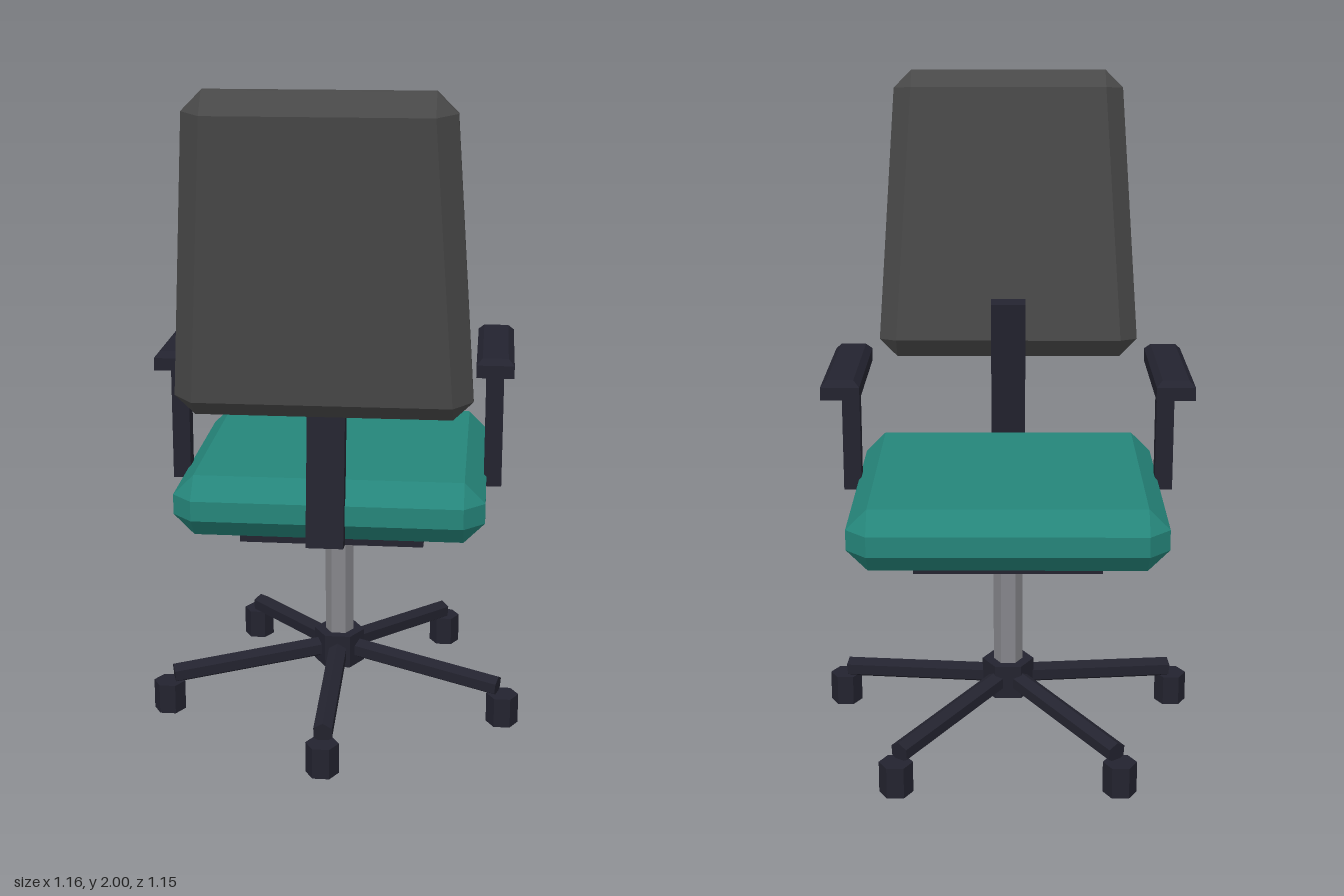
import * as THREE from 'three';
import { ConvexGeometry } from 'three/addons/geometries/ConvexGeometry.js';

const paint = (name, color) => {
  const m = new THREE.MeshStandardMaterial({ color, flatShading: true });
  m.name = name;
  return m;
};

// Box with every edge chamfered once; its width may taper from bottom to top
function chamferBox(bottomHalf, topHalf, halfH, halfD, b) {
  const pts = [];
  for (const sx of [-1, 1]) for (const sy of [-1, 1]) for (const sz of [-1, 1]) {
    const w = sy > 0 ? topHalf : bottomHalf;
    pts.push(
      new THREE.Vector3(sx * w, sy * (halfH - b), sz * (halfD - b)),
      new THREE.Vector3(sx * (w - b), sy * halfH, sz * (halfD - b)),
      new THREE.Vector3(sx * (w - b), sy * (halfH - b), sz * halfD));
  }
  return new ConvexGeometry(pts);
}

// Box whose top edges only are chamfered
function padBox(hw, hh, hd, b) {
  const pts = [];
  for (const sx of [-1, 1]) for (const sz of [-1, 1]) {
    pts.push(
      new THREE.Vector3(sx * hw, -hh, sz * hd),
      new THREE.Vector3(sx * hw, hh - b, sz * hd),
      new THREE.Vector3(sx * (hw - b), hh, sz * (hd - b)));
  }
  return new ConvexGeometry(pts);
}

// Six-sided upright prism with corners on the x axis
const hexPrism = (r, h) => new THREE.CylinderGeometry(r, r, h, 6, 1, false, Math.PI / 6);

export function createModel() {
  const teal = paint('teal fabric', 0x25857a);
  const charcoal = paint('charcoal fabric', 0x484848);
  const dark = paint('dark plastic', 0x23232f);
  const steel = paint('grey steel', 0x85858a);

  const chair = new THREE.Group();
  chair.name = 'officeChair';
  const add = (name, geometry, material, x, y, z) => {
    const mesh = new THREE.Mesh(geometry, material);
    mesh.name = name;
    mesh.position.set(x, y, z);
    chair.add(mesh);
    return mesh;
  };
  const midZ = -0.08;

  // Seat and the plate beneath it
  add('seat', chamferBox(0.462, 0.462, 0.0925, 0.443, 0.062), teal, 0, 0.76, -0.09);
  add('seatPlate', new THREE.BoxGeometry(0.556, 0.055, 0.556), dark, 0, 0.641, midZ);

  // Backrest and its support
  add('backrest', chamferBox(0.422, 0.368, 0.462, 0.065, 0.057), charcoal, 0, 1.539, 0.467)
    .rotation.x = 0.115;
  add('backSupport', new THREE.BoxGeometry(0.11, 0.62, 0.054), dark, 0, 0.98, 0.333)
    .rotation.x = -0.137;

  // Armrests
  for (const s of [-1, 1]) {
    add('armrestPad', padBox(0.056, 0.028, 0.24, 0.018), dark, s * 0.481, 1.16, -0.09);
    add('armrestPost', new THREE.BoxGeometry(0.054, 0.38, 0.054), dark, s * 0.481, 0.95, 0.01);
  }

  // Column and hub
  add('column', hexPrism(0.045, 0.5), steel, 0, 0.38, midZ);
  add('hub', hexPrism(0.08, 0.106), dark, 0, 0.169, midZ);

  // Five legs with casters
  const up = new THREE.Vector3(0, 1, 0);
  for (let i = 0; i < 5; i++) {
    const a = i * Math.PI * 2 / 5;
    const sx = Math.sin(a), cz = Math.cos(a), reach = 0.556;
    const start = new THREE.Vector3(0, 0.172, midZ);
    const end = new THREE.Vector3(sx * 0.54, 0.118, midZ + cz * 0.54);
    const dir = end.clone().sub(start);
    const geo = new THREE.CylinderGeometry(0.032, 0.032, dir.length(), 6);
    // Lay the prism along +z, tip it down, then swing it round
    geo.rotateX(Math.PI / 2);
    geo.rotateX(Math.asin(-dir.y / dir.length()));
    const mid = start.clone().add(end).multiplyScalar(0.5);
    add('leg', geo, dark, mid.x, mid.y, mid.z).setRotationFromAxisAngle(up, a);
    add('caster', hexPrism(0.05, 0.095), dark, sx * reach, 0.0475, midZ + cz * reach);
  }
  return chair;
}
